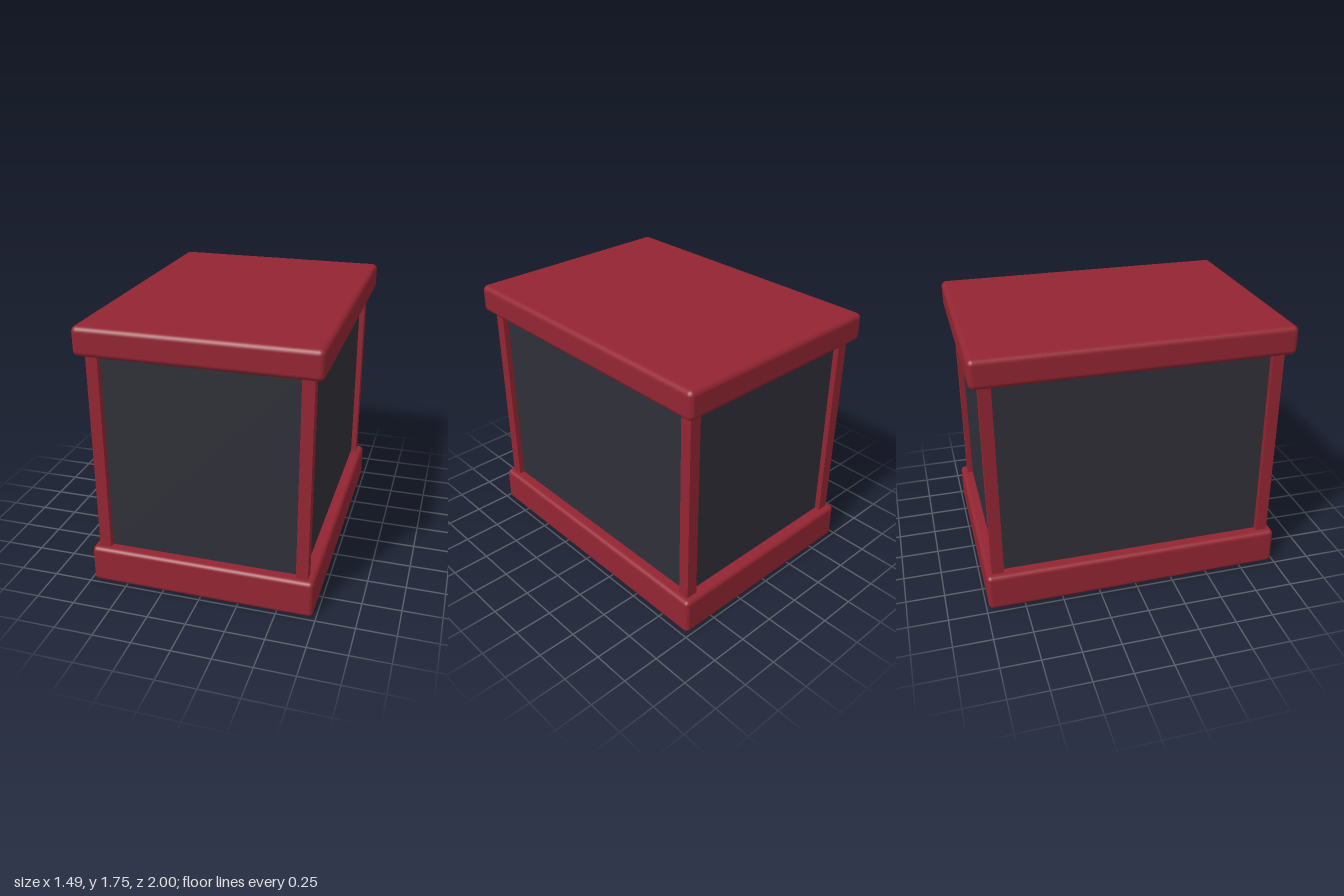
import * as THREE from 'three';
import { RoundedBoxGeometry } from 'three/addons/geometries/RoundedBoxGeometry.js';

const red = new THREE.MeshStandardMaterial({ name: 'deep red', color: 0x932532 });
const charcoal = new THREE.MeshStandardMaterial({ name: 'charcoal', color: 0x2f2f38 });

export function createModel() {
  const model = new THREE.Group();
  model.name = 'cabinet';

  const add = (name, geometry, material, x, y, z) => {
    const mesh = new THREE.Mesh(geometry, material);
    mesh.name = name;
    mesh.position.set(x, y, z);
    model.add(mesh);
  };

  // Rounded slabs at the bottom and top
  const bottom = 0.25, top = 1.56, height = 1.745;
  add('base', new RoundedBoxGeometry(1.46, bottom, 1.97, 4, 0.03), red, 0, bottom / 2, 0);
  add('roof', new RoundedBoxGeometry(1.49, height - top, 2, 4, 0.035), red, 0, (top + height) / 2, 0);

  // Square corner posts, run slightly into both slabs
  const post = 0.075, px = 0.649, pz = 0.907;
  const tall = top - bottom + 0.04, mid = (top + bottom) / 2;
  for (const [sx, side] of [[1, 'left'], [-1, 'right']]) {
    for (const [sz, end] of [[1, 'front'], [-1, 'back']]) {
      add(`${end} ${side} post`, new THREE.BoxGeometry(post, tall, post), red, sx * px, mid, sz * pz);
    }
  }

  // Dark wall panels set back between the posts
  const thick = 0.03;
  for (const [s, end, side] of [[1, 'front', 'left'], [-1, 'back', 'right']]) {
    add(`${end} panel`, new THREE.BoxGeometry(2 * px, tall, thick), charcoal, 0, mid, s * (pz - thick / 2));
    add(`${side} panel`, new THREE.BoxGeometry(thick, tall, 2 * pz), charcoal, s * (px - thick / 2), mid, 0);
  }
  return model;
}
